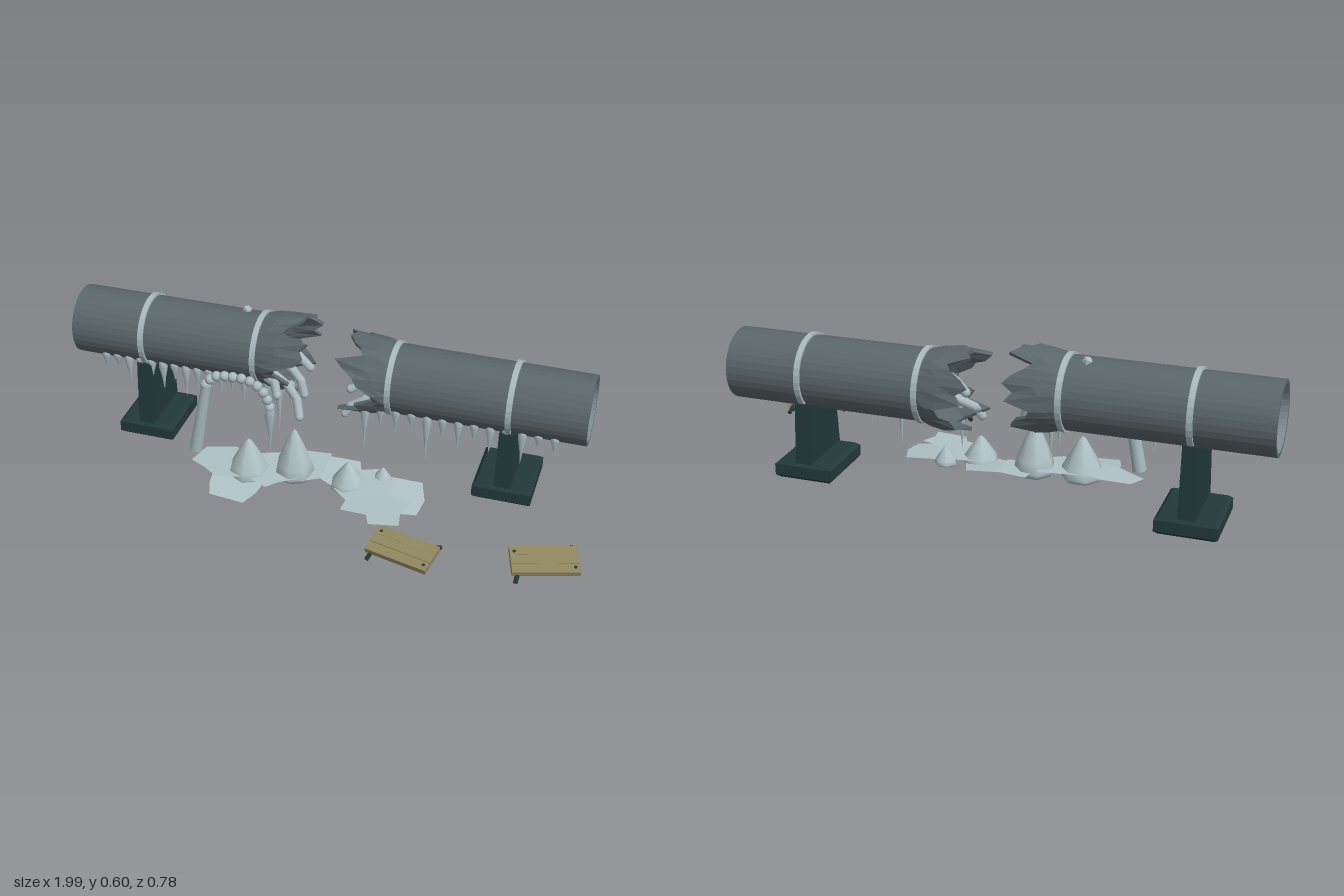
import * as THREE from 'three';

const mat = (name, color, extra = {}) => {
  const m = new THREE.MeshStandardMaterial({ color, ...extra });
  m.name = name;
  return m;
};

export function createModel() {
  const root = new THREE.Group();
  const steel = mat('pipe steel', 0x5b676a);
  const lining = mat('pipe lining', 0x7f8c8f);
  const ice = mat('ice', 0xa9babd);
  const snow = mat('snow', 0xb0c2c6, { side: THREE.DoubleSide });
  const green = mat('dark green iron', 0x223a39);
  const wood = mat('olive plank', 0x8f865f);
  const V = (x, y, z) => new THREE.Vector3(x, y, z);
  const PZ = -0.24;

  const add = (name, geo, material, x = 0, y = 0, z = 0, parent = root) => {
    const m = new THREE.Mesh(geo, material);
    m.name = name;
    m.position.set(x, y, z);
    parent.add(m);
    return m;
  };
  const flat = (geo) => {
    const g = geo.index ? geo.toNonIndexed() : geo;
    g.computeVertexNormals();
    return g;
  };
  // rod between two points
  const rod = (name, a, b, r0, r1, material, sides = 8, parent = root) => {
    const d = b.clone().sub(a);
    const m = add(name, new THREE.CylinderGeometry(r1, r0, d.length(), sides), material, 0, 0, 0, parent);
    m.position.copy(a).addScaledVector(d, 0.5);
    m.quaternion.setFromUnitVectors(V(0, 1, 0), d.normalize());
    return m;
  };

  // hollow pipe whose broken end flares into jagged teeth; dir is the way it points
  const N = 32;
  function tornPipe(name, xOpen, xBand, dir, cy, teeth) {
    const shell = (inner) => {
      const t = inner ? 0.014 : 0;
      const point = (i, j) => {
        const k = (j + N) % N, a = (k / N) * Math.PI * 2;
        const reach = teeth[k >> 1] * (k % 2 ? 0.86 : 1);
        const x = [xOpen, xBand, xBand + dir * reach * 0.45, xBand + dir * reach][i];
        const r = [0.127, 0.128, 0.141, 0.15 - (k % 4 === 1 ? 0.012 : 0)][i] - t;
        return [x, cy + r * Math.cos(a), PZ + r * Math.sin(a)];
      };
      return point;
    };
    const out = shell(false), inn = shell(true);
    const build = (quad) => {
      const pos = [];
      for (let j = 0; j < N; j++) quad(j, (a, b, c, d) => {
        const q = dir > 0 ? [a, b, c, b, d, c] : [a, c, b, b, c, d];
        q.forEach((p) => pos.push(...p));
      });
      const g = new THREE.BufferGeometry();
      g.setAttribute('position', new THREE.Float32BufferAttribute(pos, 3));
      g.computeVertexNormals();
      return g;
    };
    add(name + 'Outside', build((j, q) => {
      for (let i = 0; i < 3; i++) q(out(i, j), out(i, j + 1), out(i + 1, j), out(i + 1, j + 1));
      q(out(3, j), out(3, j + 1), inn(3, j), inn(3, j + 1));
      q(inn(0, j), inn(0, j + 1), out(0, j), out(0, j + 1));
      for (let i = 1; i < 3; i++) q(inn(i + 1, j), inn(i + 1, j + 1), inn(i, j), inn(i, j + 1));
    }), steel);
    add(name + 'Inside', build((j, q) => q(inn(1, j), inn(1, j + 1), inn(0, j), inn(0, j + 1))), lining);
    // frozen plug with small studs around it
    const plug = add(name + 'IcePlug', new THREE.CylinderGeometry(0.114, 0.114, 0.03, 32), ice, xBand - dir * 0.03, cy, PZ);
    plug.rotation.z = Math.PI / 2;
    for (let i = 0; i < 8; i++) {
      const a = ((i + 0.5) / 8) * Math.PI * 2;
      const s = add(name + 'Stud', new THREE.BoxGeometry(0.02, 0.016, 0.018), green,
        xBand - dir * 0.055, cy + 0.108 * Math.cos(a), PZ + 0.108 * Math.sin(a));
      s.rotation.x = a;
    }
  }
  const LY = 0.447, RY = 0.409;
  tornPipe('leftPipe', -1, -0.29, 1, LY, [0.16, 0.12, 0.2, 0.19, 0.09, 0.14, 0.1, 0.15, 0.12, 0.1, 0.17, 0.11, 0.18, 0.19, 0.12, 0.19]);
  tornPipe('rightPipe', 0.925, 0.215, -1, RY, [0.17, 0.12, 0.2, 0.13, 0.06, 0.12, 0.19, 0.11, 0.16, 0.1, 0.14, 0.09, 0.17, 0.19, 0.12, 0.18]);

  // bands around the pipes
  for (const [x, y] of [[-0.725, LY], [-0.29, LY], [0.215, RY], [0.65, RY]]) {
    const prof = [[0.125, -0.01], [0.136, -0.01], [0.136, 0.01], [0.125, 0.01], [0.125, -0.01]];
    const g = flat(new THREE.LatheGeometry(prof.map((p) => new THREE.Vector2(...p)), 32));
    add('pipeBand', g, ice, x, y, PZ).rotation.z = Math.PI / 2;
  }

  // box with separate top size, for supports
  const taper = (w, h, d, tw, td) => {
    const g = new THREE.BoxGeometry(w, h, d), p = g.attributes.position;
    for (let i = 0; i < p.count; i++) if (p.getY(i) > 0) {
      p.setX(i, (p.getX(i) * tw) / w);
      p.setZ(i, (p.getZ(i) * td) / d);
    }
    return flat(g);
  };
  for (const [x, top] of [[-0.728, 0.352], [0.648, 0.318]]) {
    add('supportPillar', taper(0.062, top - 0.095, 0.235, 0.056, 0.205), green, x, (top + 0.095) / 2, PZ + 0.002);
    const s = new THREE.Shape([[-0.095, -0.113], [0.095, -0.113], [0.095, 0.113], [-0.095, 0.113]].map((p) => new THREE.Vector2(...p)));
    const g = new THREE.ExtrudeGeometry(s, { depth: 0.041, bevelSize: 0.013, bevelThickness: 0.012, bevelSegments: 1 });
    g.rotateX(-Math.PI / 2);
    add('supportFoot', g, green, x, 0.044, PZ + 0.002);
  }

  // icicles along the lower front of each pipe
  const icicle = (x, y, z, len, r = 0.017) => {
    const prof = [[0, -len], [r * 0.45, -len * 0.55], [r, -len * 0.2], [r * 0.85, 0], [0, 0.01]];
    add('icicle', new THREE.LatheGeometry(prof.map((p) => new THREE.Vector2(...p)), 7), ice, x, y, z);
  };
  const lensL = [0.08, 0.06, 0.12, 0.07, 0.1, 0.13, 0.08, 0.14, 0.1, 0.07, 0.11, 0.09, 0.12, 0.08, 0.13, 0.22, 0.1];
  lensL.forEach((l, i) => icicle(-0.885 + i * 0.0455, 0.37, -0.152, l));
  const lensR = [0.19, 0.09, 0.1, 0.08, 0.2, 0.1, 0.13, 0.09, 0.12, 0.08, 0.14, 0.07, 0.08];
  lensR.forEach((l, i) => icicle(0.125 + i * 0.0575, 0.333, -0.152, l));

  // frozen spout: straight column, beaded arch, hanging tip
  rod('spoutColumn', V(-0.487, 0.095, -0.02), V(-0.436, 0.385, -0.026), 0.025, 0.018, ice, 10);
  const arch = new THREE.CatmullRomCurve3([V(-0.44, 0.385, -0.025), V(-0.405, 0.425, -0.025),
    V(-0.335, 0.437, -0.025), V(-0.265, 0.43, -0.025), V(-0.215, 0.39, -0.025), V(-0.195, 0.335, -0.025)]);
  arch.getSpacedPoints(10).forEach((p) => add('spoutBead', new THREE.SphereGeometry(0.019, 10, 7), ice, p.x, p.y, p.z));
  icicle(-0.195, 0.34, -0.025, 0.2, 0.02);

  // frozen streams bending out of the broken ends
  const streams = [
    [[-0.24, 0.41, -0.15], [-0.16, 0.38, -0.12], [-0.12, 0.33, -0.11], [-0.1, 0.28, -0.075]],
    [[-0.24, 0.42, -0.21], [-0.17, 0.4, -0.2], [-0.13, 0.36, -0.19], [-0.115, 0.31, -0.18]],
    [[-0.24, 0.43, -0.28], [-0.16, 0.42, -0.26], [-0.11, 0.39, -0.24]],
    [[-0.24, 0.39, -0.13], [-0.2, 0.39, -0.1], [-0.17, 0.385, -0.035]],
    [[0.18, 0.36, -0.17], [0.12, 0.34, -0.17], [0.07, 0.31, -0.16], [0.05, 0.28, -0.15]],
    [[0.18, 0.38, -0.25], [0.11, 0.37, -0.24], [0.05, 0.34, -0.22]],
    [[0.18, 0.4, -0.12], [0.14, 0.4, -0.16], [0.09, 0.38, -0.2]],
  ];
  for (const s of streams) {
    const pts = s.map((p) => V(...p));
    for (let i = 0; i + 1 < pts.length; i++) rod('frozenStream', pts[i], pts[i + 1], 0.017, 0.016, ice);
    pts.slice(1).forEach((p) => add('streamJoint', new THREE.SphereGeometry(0.0165, 8, 6), ice, p.x, p.y, p.z));
  }
  add('iceLump', new THREE.IcosahedronGeometry(0.018, 0), ice, -0.36, 0.575, -0.27);

  // pointed snow mounds
  const mound = (x, y, z, r, h, drop) => {
    const prof = [[0, -drop], [r * 0.85, 0], [r, h * 0.1], [r * 0.88, h * 0.3], [r * 0.5, h * 0.65], [r * 0.17, h * 0.93], [0, h]];
    add('snowMound', new THREE.LatheGeometry(prof.map((p) => new THREE.Vector2(...p)), 7), snow, x, y, z);
  };
  mound(-0.275, 0.03, -0.01, 0.08, 0.162, 0.03);
  mound(-0.11, 0.04, -0.045, 0.075, 0.205, 0.015);
  mound(0.1, 0.04, -0.03, 0.068, 0.11, 0.015);
  mound(0.215, 0.045, -0.085, 0.042, 0.07, 0.01);

  // thin overlapping snow sheets sloping down to the front
  const sheets = [
    [[-0.5, 0], [-0.47, -0.08], [-0.36, -0.1], [-0.25, -0.06], [-0.27, 0.06], [-0.38, 0.07], [-0.44, 0.03]],
    [[-0.4, 0.02], [-0.3, -0.02], [-0.2, 0.02], [-0.21, 0.1], [-0.24, 0.165], [-0.37, 0.16], [-0.39, 0.1]],
    [[-0.3, -0.08], [-0.15, -0.12], [-0.06, -0.05], [-0.08, 0.02], [-0.14, 0.05], [-0.18, 0.085], [-0.28, 0.04]],
    [[-0.11, -0.16], [0, -0.16], [0, -0.02], [-0.07, 0.01], [-0.12, -0.04]],
    [[-0.02, -0.15], [0.11, -0.16], [0.15, -0.05], [0.07, 0.01], [-0.02, -0.03]],
    [[0.07, -0.08], [0.2, -0.12], [0.27, -0.04], [0.25, 0.05], [0.13, 0.08], [0.06, 0.02]],
    [[0.12, 0.03], [0.24, 0], [0.35, 0.03], [0.33, 0.1], [0.34, 0.155], [0.23, 0.165], [0.21, 0.12], [0.11, 0.11]],
    [[0.2, -0.1], [0.36, -0.11], [0.39, -0.02], [0.38, 0.06], [0.29, 0.08], [0.2, 0.03]],
  ];
  sheets.forEach((pts, i) => {
    const g = new THREE.ShapeGeometry(new THREE.Shape(pts.map(([x, z]) => new THREE.Vector2(x, -z))));
    g.rotateX(-Math.PI / 2);
    const p = g.attributes.position, lean = [0.08, -0.06, 0.05][i % 3], cx = pts[0][0];
    for (let k = 0; k < p.count; k++)
      p.setY(k, 0.038 + (0.165 - p.getZ(k)) * 0.1 + (p.getX(k) - cx) * lean + (i % 3) * 0.004);
    add('snowSheet', flat(g), snow);
  });

  // fallen planks, tilted, with loose iron struts
  for (const [x, z, yaw, tilt] of [[0.392, 0.305, -0.24, 0.24], [0.866, 0.22, 0.31, 0.2]]) {
    const plank = new THREE.Group();
    plank.name = 'fallenPlank';
    plank.position.set(x, 0.081, z);
    plank.rotation.set(tilt, yaw, 0, 'YXZ');
    root.add(plank);
    for (const s of [-1, 0, 1])
      add('board', new THREE.BoxGeometry(0.232, s ? 0.02 : 0.022, 0.037), wood, 0, 0, s * 0.038, plank);
    for (const s of [-1, 1]) {
      rod('strut', V(s * 0.092, 0.0, -0.045 * s - 0.005), V(s * 0.104, -0.026, -0.045 * s - 0.005 + (s > 0 ? -0.03 : 0.035)), 0.008, 0.008, green, 6, plank);
      rod('strutBrace', V(s * 0.09, -0.018, 0.045), V(s * 0.098, -0.022, -0.04), 0.007, 0.007, green, 6, plank);
      add('rivet', new THREE.CylinderGeometry(0.006, 0.006, 0.024, 6), green, s * 0.1, 0, s * 0.035, plank);
    }
  }
  return root;
}
